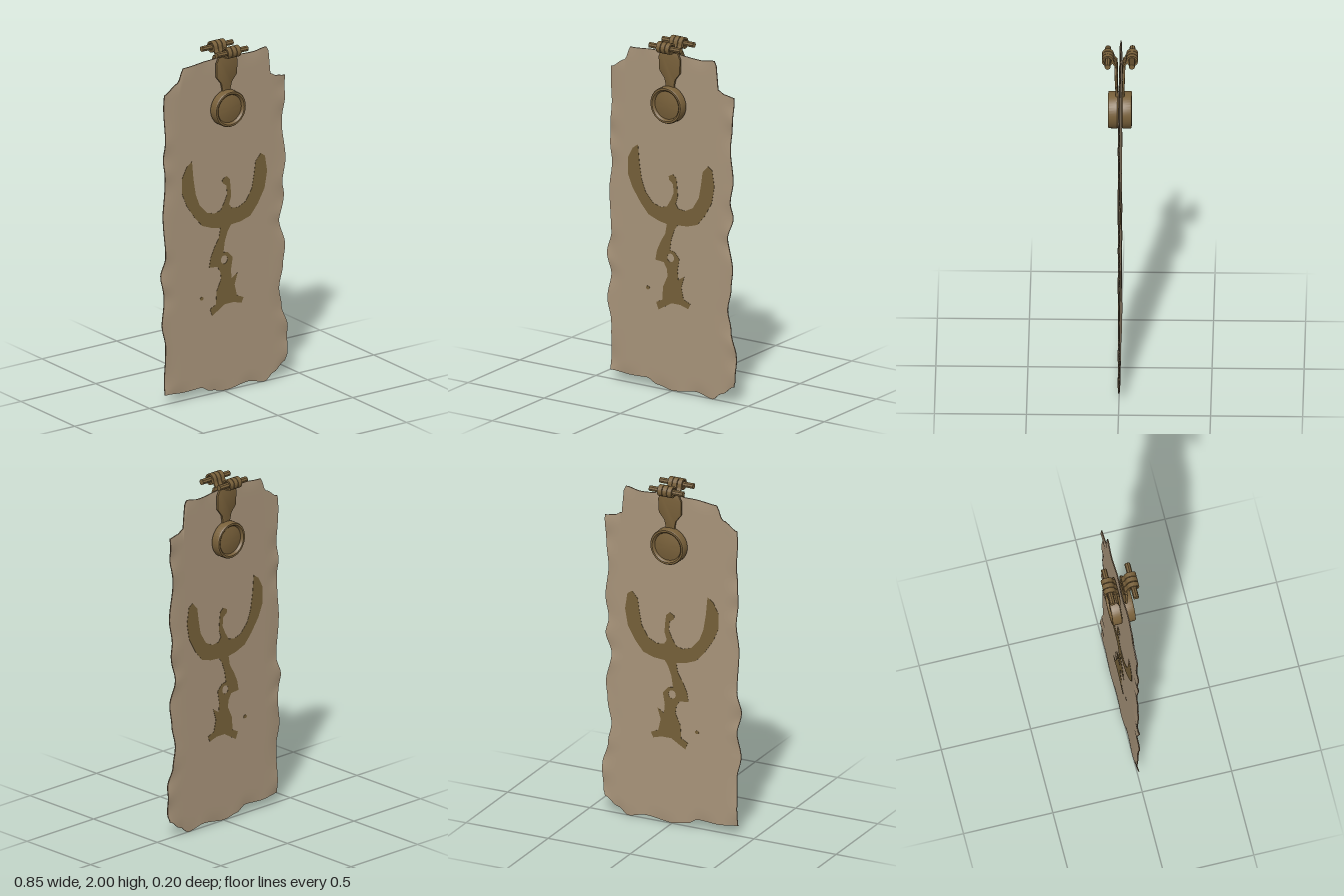
import * as THREE from 'three';
import { toCreasedNormals } from 'three/addons/utils/BufferGeometryUtils.js';

const material = (name, color, side = THREE.FrontSide) =>
  Object.assign(new THREE.MeshStandardMaterial({ color, side }), { name });

function part(name, geometry, mat, parent) {
  const mesh = new THREE.Mesh(geometry, mat);
  mesh.name = name;
  parent.add(mesh);
  return mesh;
}

// Ragged edges of the sheet: [position along the edge, offset]
const LEFT = [[0.05, -0.4], [0.33, -0.395], [0.46, -0.42], [0.6, -0.4], [0.73, -0.425], [0.84, -0.395],
  [1.08, -0.41], [1.24, -0.395], [1.4, -0.405], [1.55, -0.395], [1.71, -0.403], [1.78, -0.4]];
const RIGHT = [[0.09, 0.405], [0.13, 0.418], [0.28, 0.422], [0.41, 0.385], [0.52, 0.366], [0.65, 0.39], [0.76, 0.402],
  [0.92, 0.366], [1.05, 0.4], [1.13, 0.385], [1.26, 0.405], [1.45, 0.384], [1.63, 0.402], [1.73, 0.406]];
const TOP = [[-0.41, 1.78], [-0.32, 1.83], [-0.28, 1.91], [-0.12, 1.922], [0, 1.925], [0.19, 1.912],
  [0.28, 1.925], [0.294, 1.9], [0.308, 1.765], [0.35, 1.745], [0.41, 1.735]];
const BOTTOM = [[-0.41, 0.055], [-0.28, 0.045], [-0.165, 0.05], [-0.1, 0.02], [0, 0.003], [0.16, 0.022],
  [0.27, 0], [0.33, 0.04], [0.41, 0.09]];

// Eased lookup in one of the edge tables
function sample(table, t) {
  if (t <= table[0][0]) return table[0][1];
  for (let i = 1; i < table.length; i++) {
    const [a, va] = table[i - 1], [b, vb] = table[i];
    if (t <= b) return THREE.MathUtils.lerp(va, vb, THREE.MathUtils.smoothstep(t, a, b));
  }
  return table[table.length - 1][1];
}

// A point of the sheet; side is +1 for the front face, -1 for the back face
function sheetPoint(u, v, side) {
  const x0 = -0.41 + 0.82 * u;
  const y = THREE.MathUtils.lerp(sample(BOTTOM, x0), sample(TOP, x0), v);
  const x = THREE.MathUtils.lerp(sample(LEFT, y), sample(RIGHT, y), u);
  const nearSide = Math.max(0, 1 - Math.min(u, 1 - u) / 0.13) ** 2;
  const nearEnd = Math.max(0, 1 - Math.min(v, 1 - v) / 0.04) ** 2;
  const dent = nearSide * Math.sin(y * 21 + Math.sin(y * 9 + u * 4) * 2) + 0.5 * nearEnd * Math.sin(x * 26);
  const half = 0.005 - 0.002 * Math.max(nearSide, nearEnd);
  return [x, y, side * half + 0.0045 * dent];
}

function sheetFace(side, cols = 64, rows = 110) {
  const pos = [], index = [];
  for (let j = 0; j <= rows; j++)
    for (let i = 0; i <= cols; i++) pos.push(...sheetPoint(i / cols, j / rows, side));
  for (let j = 0; j < rows; j++)
    for (let i = 0; i < cols; i++) {
      const a = j * (cols + 1) + i, b = a + 1, c = a + cols + 1, d = c + 1;
      if (side > 0) index.push(a, b, d, a, d, c);
      else index.push(a, d, b, a, c, d);
    }
  return build(pos, index);
}

// Thin band joining the two faces all the way round
function sheetRim(cols = 64, rows = 110) {
  const loop = [];
  for (let i = 0; i < cols; i++) loop.push([i / cols, 0]);
  for (let j = 0; j < rows; j++) loop.push([1, j / rows]);
  for (let i = cols; i > 0; i--) loop.push([i / cols, 1]);
  for (let j = rows; j > 0; j--) loop.push([0, j / rows]);
  const pos = [], index = [], n = loop.length;
  loop.forEach(([u, v], k) => {
    pos.push(...sheetPoint(u, v, 1), ...sheetPoint(u, v, -1));
    const a = 2 * k, b = 2 * ((k + 1) % n);
    index.push(a, a + 1, b + 1, a, b + 1, b);
  });
  return build(pos, index);
}

function build(pos, index) {
  const g = new THREE.BufferGeometry();
  g.setAttribute('position', new THREE.Float32BufferAttribute(pos, 3));
  g.setIndex(index);
  g.computeVertexNormals();
  return g;
}

const outline = (pts, s = 1) => pts.map(([x, y]) => new THREE.Vector2(x * s, y * s));

// Spread-winged bird, in hundredths of a unit
const BIRD = [[-22, 136.5], [-25.5, 134], [-28.6, 128], [-28.6, 119], [-25.5, 111.5], [-20, 103.5], [-15, 98],
  [-8.5, 95.5], [-3, 94.5], [-4, 89], [-7, 84], [-9.5, 78.5], [-10.5, 73], [-5, 72.5], [-3, 69], [-2.5, 65],
  [-5.5, 58.5], [-6, 51], [-10, 49], [-8.5, 45], [-5, 47], [0, 50], [6, 50], [11, 48.5], [12.5, 51.5], [8, 53.5],
  [6.5, 60], [8.5, 66.5], [4.5, 64], [4, 69], [5.2, 76], [2, 79.5], [-1, 80], [0, 86.5], [2, 92], [4, 95],
  [10.5, 95.5], [17, 97.5], [22, 103.5], [26.5, 111.5], [28.2, 121], [26.8, 130], [24, 132], [20.5, 128],
  [19.5, 121], [18, 113], [14, 106.5], [9, 104], [4.5, 104.5], [2.8, 107], [4.2, 111.5], [3.7, 117.5], [3.2, 121.5],
  [1, 123.5], [-1.8, 122], [-1.6, 120], [1, 118], [1.5, 113], [-0.5, 108.5], [-3, 104.5], [-7, 103.5],
  [-12, 105], [-17, 110.5], [-19.5, 117], [-21, 126]];

function birdGeometry() {
  const bird = new THREE.Shape(outline(BIRD, 0.01));
  bird.holes.push(new THREE.Path().absellipse(-0.005, 0.757, 0.022, 0.024, 0, Math.PI * 2));
  const spot = new THREE.Shape().absellipse(-0.155, 0.562, 0.012, 0.01, 0, Math.PI * 2);
  return new THREE.ExtrudeGeometry([bird, spot], { depth: 0.002, bevelEnabled: false });
}

// Ribbon of metal that rises from the strap and rolls around the pin
function curlGeometry(width) {
  const path = [[0.016, 1.89], [0.02, 1.93], [0.032, 1.95]];
  for (let a = 175; a >= -190; a -= 20) {
    const r = 0.027 - Math.max(0, -a - 90) * 0.00005, t = THREE.MathUtils.degToRad(a);
    path.push([0.066 + r * Math.cos(t), 1.968 + r * Math.sin(t)]);
  }
  const curve = new THREE.SplineCurve(outline(path));
  const outer = [], inner = [];
  for (let i = 0; i <= 48; i++) {
    const p = curve.getPoint(i / 48), t = curve.getTangent(i / 48);
    const n = new THREE.Vector2(-t.y, t.x).multiplyScalar(0.005);
    outer.push(p.clone().add(n));
    inner.unshift(p.clone().sub(n));
  }
  const g = new THREE.ExtrudeGeometry(new THREE.Shape([...outer, ...inner]), { depth: width, bevelEnabled: false });
  g.translate(0, 0, -width / 2).rotateY(-Math.PI / 2);
  return toCreasedNormals(g, 0.7);
}

// Flat strap that narrows to a neck and leans out towards the top
function strapGeometry() {
  const half = [[0.028, 1.71], [0.028, 1.745], [0.036, 1.78], [0.068, 1.82], [0.071, 1.9], [0.055, 1.935]];
  const pts = [...half, ...half.map(([x, y]) => [-x, y]).reverse()];
  const g = new THREE.ExtrudeGeometry(new THREE.Shape(outline(pts)), {
    depth: 0.006, bevelThickness: 0.004, bevelSize: 0.004, bevelOffset: -0.004, bevelSegments: 2 });
  const p = g.attributes.position;
  for (let i = 0; i < p.count; i++) p.setZ(i, p.getZ(i) + 0.013 + (p.getY(i) - 1.71) * 0.03);
  return toCreasedNormals(g, 0.6);
}

function createClip(name, bronze) {
  const clip = new THREE.Group();
  clip.name = name;
  part('strap', strapGeometry(), bronze, clip);
  for (const [x, w] of [[-0.028, 0.026], [0.002, 0.026], [0.031, 0.026]])
    part('curl', curlGeometry(w), bronze, clip).position.x = x;
  part('curlCore', new THREE.BoxGeometry(0.08, 0.04, 0.007), bronze, clip).position.set(0, 1.915, 0.018);

  const pin = part('pin', toCreasedNormals(new THREE.CylinderGeometry(0.016, 0.016, 0.205, 8), 0.4), bronze, clip);
  pin.rotation.z = Math.PI / 2;
  pin.position.set(0.002, 1.968, 0.066);

  // Round boss with a raised rim and a shallow dome
  const profile = outline([[0, 0.009], [0.097, 0.009], [0.102, 0.014], [0.102, 0.058], [0.098, 0.064], [0.088, 0.064],
    [0.083, 0.06], [0.079, 0.049], [0.06, 0.053], [0.03, 0.057], [0, 0.058]]);
  const boss = new THREE.LatheGeometry(profile, 40).rotateX(Math.PI / 2);
  part('boss', toCreasedNormals(boss, 0.6), bronze, clip).position.y = 1.637;
  return clip;
}

export function createModel() {
  const model = new THREE.Group();
  model.name = 'hangingBanner';
  const parchment = material('parchment', 0xa8947a);
  const wornEdge = material('wornEdge', 0x6e5a42, THREE.DoubleSide);
  const paint = material('brownPaint', 0x756039);
  const bronze = material('bronze', 0x78603a);

  part('sheetFront', sheetFace(1), parchment, model);
  part('sheetBack', sheetFace(-1), parchment, model);
  part('sheetRim', sheetRim(), wornEdge, model);

  // The painted bird shows on both faces
  const bird = birdGeometry();
  part('birdFront', bird, paint, model).position.z = 0.0045;
  part('birdBack', bird, paint, model).position.z = -0.0065;

  // Matching clips on the front and the back
  model.add(createClip('frontClip', bronze));
  const backClip = createClip('backClip', bronze);
  backClip.rotation.y = Math.PI;
  model.add(backClip);
  return model;
}
